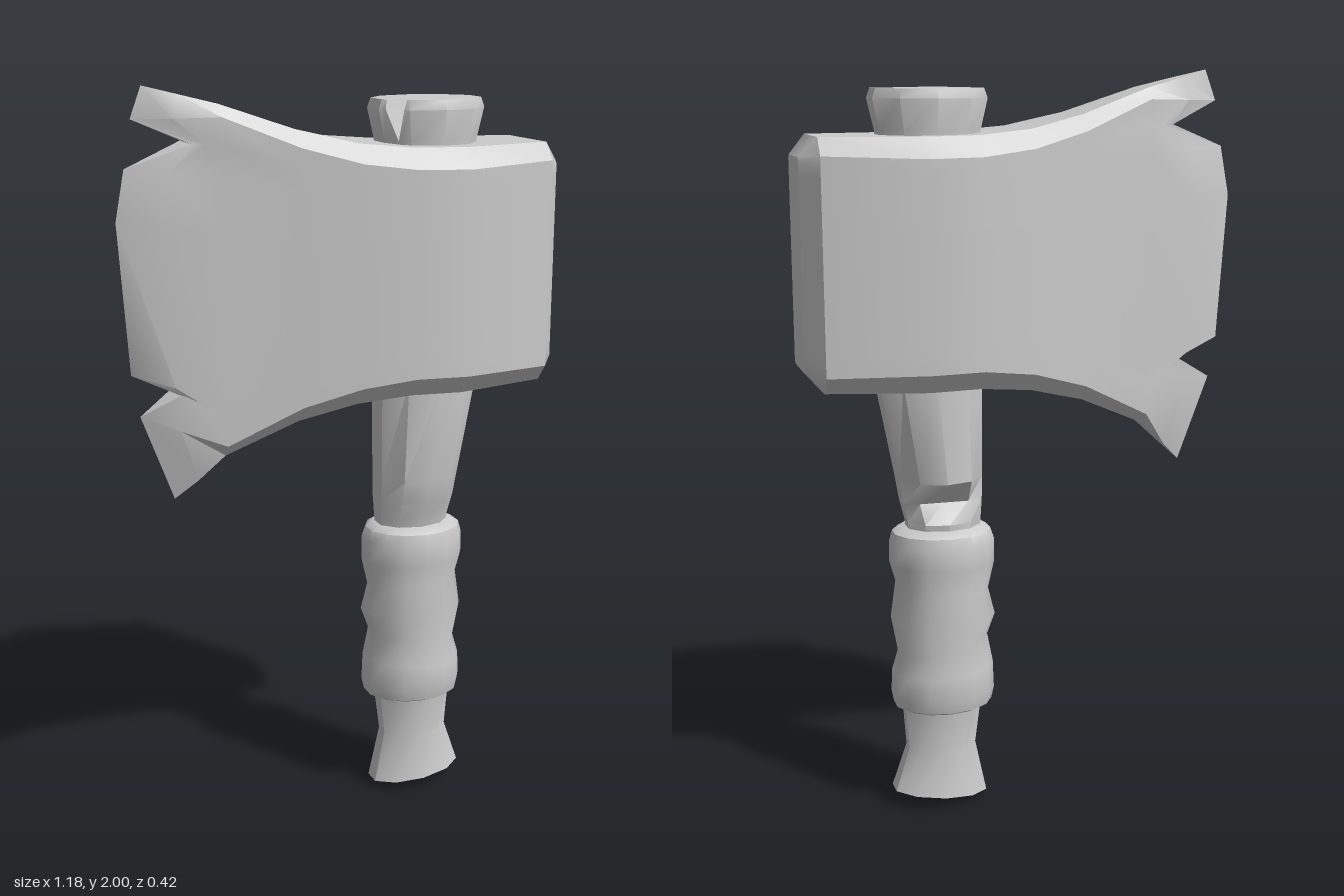
import * as THREE from 'three';
import { toCreasedNormals } from 'three/addons/utils/BufferGeometryUtils.js';

const V = (x, y, z) => new THREE.Vector3(x, y, z);
const rad = THREE.MathUtils.degToRad;

// Skins a row of equal-length loops. Ends are closed with a fan around a centre
// (pushed along y by the given amounts) or with strips joining the two halves.
function loft(name, loops, { strip = false, dip = [0, 0], crease = 35 } = {}) {
  const pos = [];
  const tri = (...pts) => {
    const area = V().subVectors(pts[1], pts[0]).cross(V().subVectors(pts[2], pts[0])).length();
    if (area > 1e-9) pts.forEach((p) => pos.push(p.x, p.y, p.z));
  };
  const n = loops[0].length;
  for (let s = 0; s < loops.length - 1; s++) {
    for (let i = 0; i < n; i++) {
      const j = (i + 1) % n, a = loops[s], b = loops[s + 1];
      tri(a[i], b[i], a[j]);
      tri(a[j], b[i], b[j]);
    }
  }
  [loops[0], loops[loops.length - 1]].forEach((l, end) => {
    const face = (a, b, c) => (end ? tri(a, c, b) : tri(a, b, c));
    if (strip) {
      for (let i = 0; i < n / 2 - 1; i++) {
        face(l[i], l[i + 1], l[n - 2 - i]);
        face(l[i], l[n - 2 - i], l[n - 1 - i]);
      }
    } else {
      const c = V(0, 0, 0);
      l.forEach((p) => c.addScaledVector(p, 1 / n));
      c.y += dip[end];
      for (let i = 0; i < n; i++) face(c, l[i], l[(i + 1) % n]);
    }
  });
  const geo = new THREE.BufferGeometry();
  geo.setAttribute('position', new THREE.Float32BufferAttribute(pos, 3));
  const mesh = new THREE.Mesh(toCreasedNormals(geo, rad(crease)),
    new THREE.MeshStandardMaterial({ color: 0xcccccc }));
  mesh.name = name;
  return mesh;
}

// Oval ring with flats facing +x and -x; tilt raises the +x side.
function ring(y, x0, x1, hz, tilt = 0, sides = 10) {
  const half = Math.PI / sides, cx = (x0 + x1) / 2, hx = (x1 - x0) / 2 / Math.cos(half);
  return Array.from({ length: sides }, (_, i) => {
    const a = half * (2 * i + 1);
    return V(cx + hx * Math.cos(a), y + tilt * Math.cos(a), hz * Math.sin(a));
  });
}

function axeHead() {
  // cutting edge from top to bottom: x, y, half thickness (thick at the chips)
  const edge = [[-0.52, 2, 0], [-0.55, 1.92, 0], [-0.41, 1.86, 0.055], [-0.57, 1.8, 0],
    [-0.595, 1.67, 0], [-0.57, 1.28, 0], [-0.44, 1.235, 0.05], [-0.55, 1.17, 0], [-0.465, 0.94, 0]];
  // x, top, bottom, half thickness, bevel
  const stations = [
    [0.585, 1.79, 1.25, 0.085, 0.01], [0.54, 1.84, 1.2, 0.145, 0.045],
    [0.28, 1.84, 1.2, 0.212, 0.052], [0.14, 1.842, 1.2, 0.196, 0.052],
    [0, 1.855, 1.185, 0.17, 0.048], [-0.15, 1.89, 1.145, 0.13, 0.042],
    [-0.34, 1.955, 1.06, 0.08, 0.03]];
  const last = edge.length - 1;
  const columns = stations.map(([x, top, bot, hz, bev]) => edge.map(([, y], i) => {
    if (i === 0) return V(x, top, hz - bev * 0.85);
    if (i === last) return V(x, bot, hz - bev * 0.85);
    return V(x, THREE.MathUtils.mapLinear(y, 1.17, 1.92, bot + bev, top - bev), hz);
  }));
  // sharpened bevel, then the edge itself
  const tip = edge.map((p) => V(...p));
  const bevel = tip.map((p, i) => {
    const q = p.clone().lerp(columns[columns.length - 1][i], 0.45);
    q.z = i === 0 || i === last ? 0.035 : p.z ? 0.065 : 0.05;
    return q;
  });
  columns.push(bevel, tip);
  const loops = columns.map((c) => [...c, ...c.map((p) => V(p.x, p.y, -p.z)).reverse()]);
  return loft('axeHead', loops, { strip: true, crease: 32 });
}

// Handle end above the head, with a wedge split out of its front left corner.
function handleTop() {
  const section = (y, hx, hz, open) => {
    const pts = [];
    const add = (deg, r) => pts.push(V(0.24 + hx * r * Math.cos(rad(deg)), y, hz * r * Math.sin(rad(deg))));
    const flat = (deg) => 1 / Math.cos(rad(deg - 144)) * Math.cos(rad(18));
    for (let k = 0; k < 10; k++) {
      add(18 + 36 * k, 1);
      if (k === 3) {
        add(143 - 13 * open, flat(143 - 13 * open));
        add(143, flat(143) * (1 - 0.6 * open));
        add(143 + 13 * open, flat(143 + 13 * open));
      }
    }
    return pts;
  };
  return loft('handleTop', [section(1.8, 0.137, 0.118, 0), section(1.85, 0.138, 0.118, 0),
    section(1.93, 0.157, 0.13, 0.85), section(1.955, 0.148, 0.122, 1)], { dip: [0, 0.003] });
}

function shaft() {
  const loops = [[0.76, 0.115, 0.305, 0.07], [0.82, 0.112, 0.312, 0.08], [0.875, 0.11, 0.325, 0.1],
    [0.94, 0.11, 0.335, 0.113], [1.22, 0.108, 0.388, 0.117], [1.3, 0.108, 0.388, 0.117]]
    .map((s) => ring(...s));
  // chip cut into the back
  loops[2].forEach((p) => { p.z = Math.max(p.z, -0.045); });
  return loft('shaft', loops);
}

// Wrapped grip: three bulges separated by slanted grooves.
function grip() {
  const loops = [[0.29, 0.1, 0.335, 0.098, 0], [0.298, 0.084, 0.35, 0.112, 0],
    [0.33, 0.077, 0.356, 0.121, 0], [0.4, 0.08, 0.353, 0.12, -0.008],
    [0.467, 0.095, 0.337, 0.107, -0.02], [0.545, 0.074, 0.354, 0.122, 0],
    [0.634, 0.092, 0.34, 0.108, 0.014], [0.7, 0.075, 0.356, 0.12, 0.004],
    [0.76, 0.075, 0.355, 0.12, 0], [0.79, 0.085, 0.347, 0.112, 0], [0.803, 0.105, 0.325, 0.092, 0]]
    .map((s) => ring(...s, 14));
  return loft('grip', loops, { crease: 40 });
}

function pommel() {
  const loops = [[0.036, 0.1, 0.358, 0.082, 0.014], [0.17, 0.13, 0.318, 0.064, 0],
    [0.31, 0.113, 0.327, 0.082, 0]].map((s) => ring(...s));
  return loft('pommel', loops, { dip: [-0.036, 0] });
}

export function createModel() {
  const axe = new THREE.Group();
  axe.name = 'axe';
  axe.add(axeHead(), handleTop(), shaft(), grip(), pommel());
  return axe;
}
